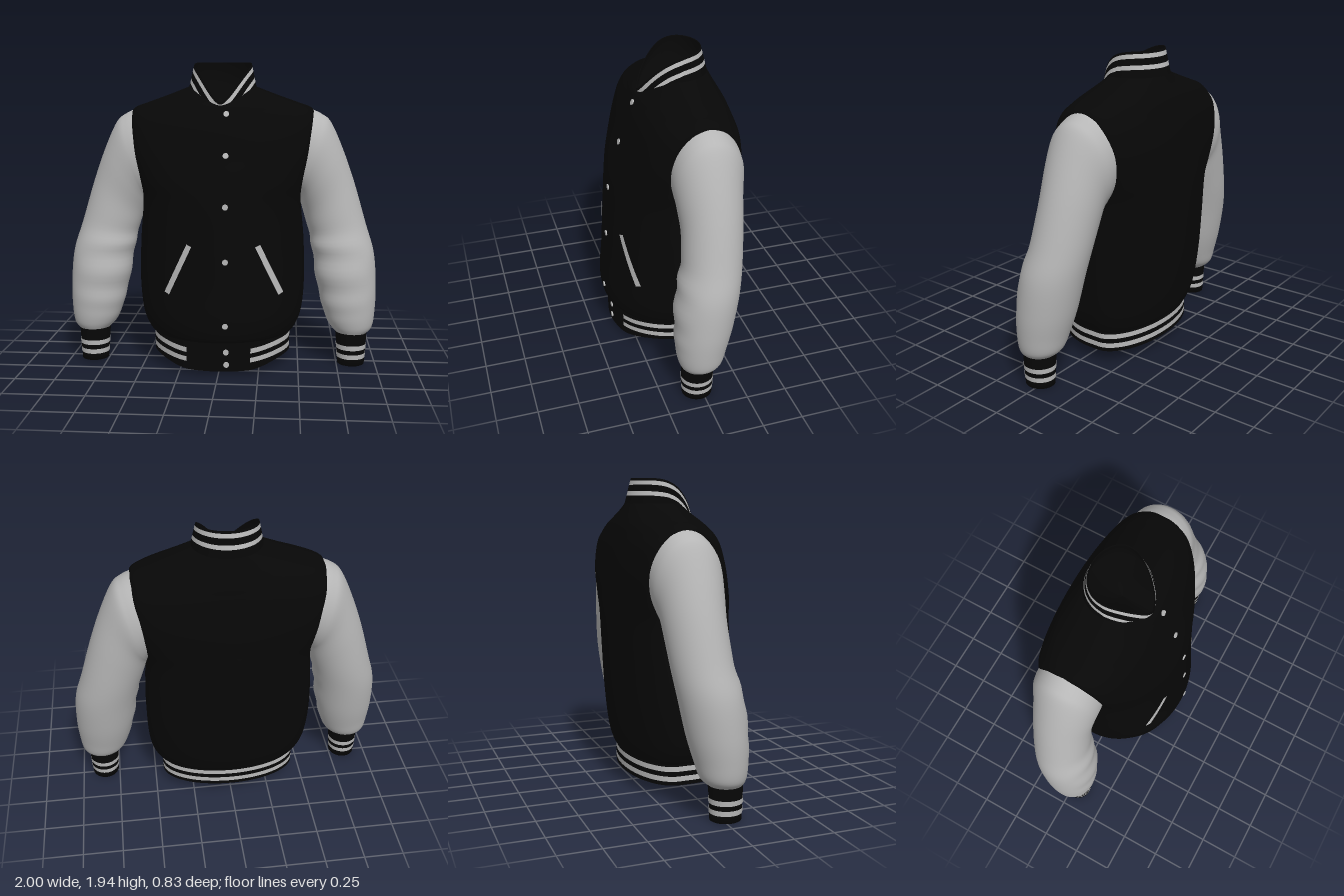
import * as THREE from 'three';

const mat = (name, color) => {
  const m = new THREE.MeshStandardMaterial({ color, side: THREE.DoubleSide });
  m.name = name;
  return m;
};

// Catmull-Rom interpolation of whole table rows
function sample(table, u) {
  const last = table.length - 1;
  const i = Math.min(Math.floor(u), last - 1), t = u - i;
  const at = k => table[Math.max(0, Math.min(last, k))];
  const [p, q, r, s] = [at(i - 1), at(i), at(i + 1), at(i + 2)];
  return q.map((_, k) => {
    const m0 = (r[k] - p[k]) / 2, m1 = (s[k] - q[k]) / 2, t2 = t * t, t3 = t2 * t;
    return (2 * t3 - 3 * t2 + 1) * q[k] + (t3 - 2 * t2 + t) * m0 + (3 * t2 - 2 * t3) * r[k] + (t3 - t2) * m1;
  });
}

// Grid surface; pick(i, j) gives the material index of each cell
function surface(name, rows, cols, closed, point, materials, pick = () => 0) {
  const pos = [], lists = materials.map(() => []), stride = closed ? cols : cols + 1;
  for (let i = 0; i <= rows; i++) for (let j = 0; j < stride; j++) pos.push(...point(i, j));
  for (let i = 0; i < rows; i++) for (let j = 0; j < cols; j++) {
    const a = i * stride + j, b = i * stride + (j + 1) % stride;
    lists[pick(i, j)].push(a, b, b + stride, a, b + stride, a + stride);
  }
  const g = new THREE.BufferGeometry();
  g.setAttribute('position', new THREE.Float32BufferAttribute(pos, 3));
  g.setIndex(lists.flat());
  let start = 0;
  lists.forEach((l, k) => { g.addGroup(start, l.length, k); start += l.length; });
  g.computeVertexNormals();
  const mesh = new THREE.Mesh(g, materials.length > 1 ? materials : materials[0]);
  mesh.name = name;
  return mesh;
}

// Torso sections: y, half width, front z, side front z, side back z, back z, roundness, front drop
const TORSO = [
  [0.21, 0.44, 0.36, -0.02, -0.10, -0.315, 2, 0],
  [0.24, 0.475, 0.395, -0.02, -0.11, -0.338, 2, 0],
  [0.35, 0.518, 0.41, -0.02, -0.12, -0.365, 2, 0],
  [0.56, 0.535, 0.395, 0, -0.15, -0.385, 1.85, 0],
  [0.83, 0.527, 0.378, 0, -0.18, -0.40, 1.85, 0],
  [1.07, 0.505, 0.36, 0.03, -0.22, -0.41, 1.9, 0],
  [1.20, 0.515, 0.335, 0.08, -0.27, -0.41, 2, 0],
  [1.36, 0.545, 0.285, 0.10, -0.295, -0.407, 2, 0],
  [1.52, 0.568, 0.235, 0.06, -0.27, -0.385, 2, 0],
  [1.60, 0.578, 0.20, 0, -0.20, -0.365, 2, 0],
  [1.65, 0.572, 0.18, -0.08, -0.12, -0.35, 1.9, 0.01],
  [1.69, 0.47, 0.172, -0.075, -0.105, -0.33, 1.9, 0.035],
  [1.735, 0.345, 0.164, -0.07, -0.09, -0.305, 1.8, 0.07],
  [1.785, 0.215, 0.15, -0.06, -0.07, -0.28, 1.6, 0.115],
];
const NECK = TORSO[TORSO.length - 1];
const COLS = 112;

// Point on a torso section; column 0 is front centre, going round by +x
function ringPoint([y, w, zf, zsf, zsb, zb, n, drop], j) {
  const side = j <= COLS / 2 ? 1 : -1;
  const h = (side > 0 ? j : COLS - j) / (COLS / 2);
  const e = 2 / (h < 0.5 ? n : Math.max(2, n));
  const a = Math.PI / 2 * (h < 0.48 ? h / 0.48 : h > 0.52 ? (1 - h) / 0.48 : 1);
  const c = Math.max(0, Math.cos(a)) ** e, x = side * w * Math.max(0, Math.sin(a)) ** e;
  if (h < 0.48) return [x, y - drop * c * c, zsf + (zf - zsf) * c];
  if (h > 0.52) return [x, y, zsb + (zb - zsb) * c];
  return [x, y, zsf + (zsb - zsf) * (h - 0.48) / 0.04];
}

// Depth of the torso front at x, y
function frontZ(x, y) {
  let lo = 0, hi = TORSO.length - 1;
  for (let k = 0; k < 30; k++) {
    const mid = (lo + hi) / 2;
    if (sample(TORSO, mid)[0] < y) lo = mid; else hi = mid;
  }
  const [, w, zf, zsf, , , n] = sample(TORSO, lo);
  return zsf + (zf - zsf) * (1 - (Math.abs(x) / w) ** n) ** (1 / n);
}

// Top edge of the collar, sweeping down to a point at the front
function collarTop(j) {
  const p = ringPoint([0, 0.185, 0.155, -0.07, -0.09, -0.238, 1.45, 0], j);
  p[1] = 1.94 - 0.25 * ((p[2] + 0.238) / 0.393) ** 3;
  return p;
}

// Sleeve sections: outer x, y, inner x, y, front z, back z
const SLEEVE = [
  [0.565, 1.645, 0.495, 1.07, 0.105, -0.32],
  [0.635, 1.612, 0.502, 1.06, 0.107, -0.32],
  [0.695, 1.56, 0.505, 1.05, 0.104, -0.315],
  [0.77, 1.40, 0.51, 1.03, 0.095, -0.295],
  [0.85, 1.18, 0.53, 0.96, 0.085, -0.28],
  [0.93, 0.91, 0.565, 0.84, 0.10, -0.26],
  [0.985, 0.72, 0.59, 0.70, 0.14, -0.235],
  [1.0, 0.51, 0.625, 0.49, 0.16, -0.195],
  [0.995, 0.36, 0.665, 0.34, 0.158, -0.155],
  [0.98, 0.25, 0.70, 0.26, 0.145, -0.125],
  [0.942, 0.205, 0.745, 0.21, 0.125, -0.075],
];
// Cuff sections, top to bottom, then the closed end
const CUFF = [
  [0.945, 0.215, 0.742, 0.215, 0.127, -0.077],
  [0.94, 0.135, 0.75, 0.135, 0.125, -0.07],
  [0.938, 0.104, 0.752, 0.104, 0.124, -0.069],
  [0.936, 0.075, 0.754, 0.075, 0.123, -0.068],
  [0.934, 0.044, 0.756, 0.044, 0.122, -0.067],
  [0.932, 0, 0.758, 0, 0.12, -0.066],
  [0.845, 0.01, 0.845, 0.01, 0.027, 0.027],
];

function armPoint([xo, yo, xi, yi, zf, zb], th, s, swell = 1) {
  const c = Math.cos(th) * swell, d = Math.sin(th) * swell;
  return [s * ((xo + xi) / 2 + (xo - xi) / 2 * c), (yo + yi) / 2 + (yo - yi) / 2 * c, (zf + zb) / 2 + (zf - zb) / 2 * d];
}

export function createModel() {
  const black = mat('black wool', 0x070707);
  const sleeveGray = mat('sleeve gray', 0xb6b6b6);
  const trim = mat('trim gray', 0xb8b8b8);
  const group = new THREE.Group();
  group.name = 'jacket';

  // Torso shell, open at the hem
  const sub = 6;
  group.add(surface('torso', (TORSO.length - 1) * sub, COLS, true,
    (i, j) => ringPoint(sample(TORSO, i / sub), j), [black]));

  // Ribbed hem: two stripes, plain front tab that hangs lower
  const hemY = [0.082, 0.106, 0.138, 0.168, 0.2, 0.218];
  const sag = [0.052, 0.026, 0.028, 0.03, 0.03, 0];
  group.add(surface('hem', 5, COLS, true, (i, j) => {
    const [x, , z] = ringPoint(TORSO[0], j);
    const g = z > 0 ? 1 - THREE.MathUtils.smoothstep(Math.abs(x), 0.18, 0.44) : 0;
    return [x * 1.01, hemY[i] - sag[i] * g, z * 1.01];
  }, [black, trim], (i, j) => {
    const [x, , z] = ringPoint(TORSO[0], j + 0.5);
    return i % 2 === 1 && !(z > 0 && Math.abs(x) < 0.2) ? 1 : 0;
  }));

  // Stand collar: stripes keep a fixed distance from the top edge and run out at the front
  const fromTop = [1, 0.106, 0.08, 0.041, 0.015, 0];
  group.add(surface('collar', 5, COLS, true, (i, j) => {
    const base = ringPoint(NECK, j), top = collarTop(j);
    const f = Math.min(1, fromTop[i] / Math.max(0.001, top[1] - base[1]));
    return top.map((v, k) => v + (base[k] - v) * f);
  }, [black, trim], i => (i === 1 || i === 3 ? 1 : 0)));

  // Plain lining inside the collar, closed across the neck
  group.add(surface('collarLining', 3, COLS, true, (i, j) => {
    const [x, y, z] = i < 2 ? collarTop(j) : ringPoint(NECK, j);
    const shrink = [1, 0.96, 0.93, 0][i];
    return [x * shrink, i === 3 ? 1.68 : y - (i === 1 ? 0.004 : 0), -0.05 + (z + 0.05) * shrink];
  }, [black]));

  // Sleeves, cuffs and pockets
  for (const s of [1, -1]) {
    const side = s > 0 ? 'left' : 'right', n = 48;
    const angle = j => s * j / n * Math.PI * 2;
    group.add(surface(side + 'Sleeve', (SLEEVE.length - 1) * 6, n, true, (i, j) => {
      const u = i / 6, th = angle(j);
      // soft folds near the elbow on the inner front
      const fold = Math.exp(-(((u - 6.3) / 1.3) ** 2)) * Math.max(0, Math.cos(th - 2.2));
      return armPoint(sample(SLEEVE, u), th, s, 1 + 0.045 * fold * Math.sin(u * 6));
    }, [sleeveGray]));
    group.add(surface(side + 'Cuff', CUFF.length - 1, n, true, (i, j) => armPoint(CUFF[i], angle(j), s), [black]));
    for (const k of [1, 3]) {
      group.add(surface(side + 'CuffStripe', 1, n, true, (i, j) => armPoint(CUFF[k + i], angle(j), s, 1.03), [trim]));
    }

    // Slanted pocket welt lying on the front
    group.add(surface(side + 'Pocket', 12, 3, false, (i, j) => {
      const t = i / 12, o = (j / 3 - 0.5) * 0.034;
      const x = 0.032 + s * (0.355 - 0.145 * t) + o * 0.9, y = 0.515 + 0.31 * t + s * o * 0.42;
      return [x, y, frontZ(x, y) + 0.006];
    }, [trim]));
  }

  // Snap buttons down the front
  const snap = new THREE.CylinderGeometry(0.018, 0.018, 0.009, 16).rotateX(Math.PI / 2);
  [1.62, 1.37, 1.065, 0.73, 0.335, 0.155, 0.075].forEach((y, i) => {
    const x = 0.04 + 0.002 * i;
    const b = new THREE.Mesh(snap, trim);
    b.name = 'button' + (i + 1);
    b.position.set(x, y, y < 0.21 ? 0.363 : frontZ(x, y) + 0.002);
    if (y > 1.1) b.rotation.x = -Math.atan((frontZ(x, y - 0.03) - frontZ(x, y + 0.03)) / 0.06);
    group.add(b);
  });
  return group;
}
